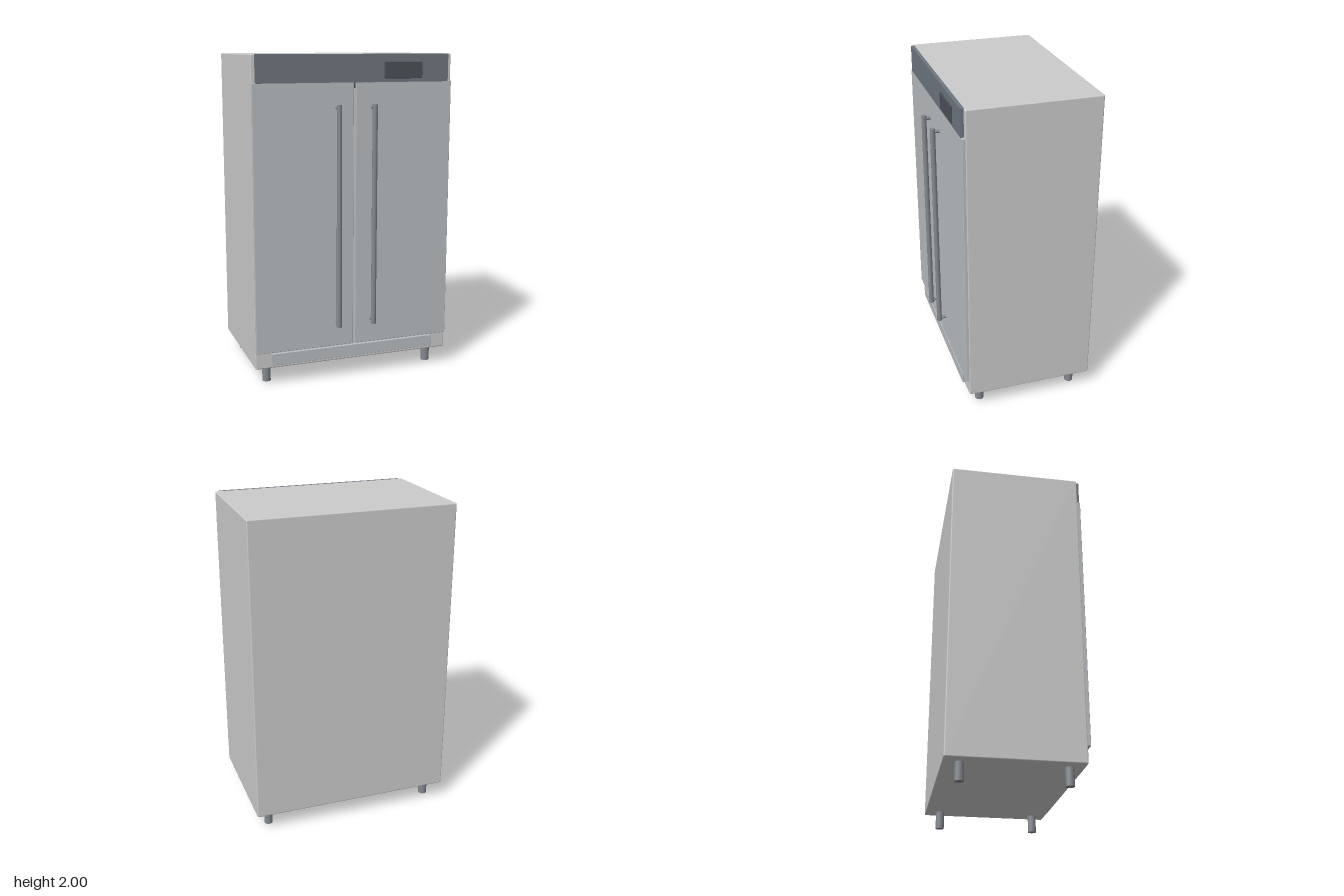
import * as THREE from 'three';
import { RoundedBoxGeometry } from 'three/addons/geometries/RoundedBoxGeometry.js';

export function createModel() {
  const model = new THREE.Group();
  model.name = 'twoDoorCabinet';

  const material = (color) => new THREE.MeshStandardMaterial({ color });
  const steel = material(0xcccccc);
  const doorSteel = material(0xb9bec2);
  const slate = material(0x6f777f);
  const dark = material(0x4c5057);
  const metal = material(0x85898e);

  const add = (parent, name, geometry, mat, x, y, z) => {
    const mesh = new THREE.Mesh(geometry, mat);
    mesh.name = name;
    mesh.position.set(x, y, z);
    parent.add(mesh);
    return mesh;
  };

  // Box given by its limits, with an optional softened edge
  const block = (name, [x0, x1], [y0, y1], [z0, z1], mat, edge = 0) => {
    const size = [x1 - x0, y1 - y0, z1 - z0];
    const geometry = edge
      ? new RoundedBoxGeometry(...size, 2, edge)
      : new THREE.BoxGeometry(...size);
    return add(model, name, geometry, mat, (x0 + x1) / 2, (y0 + y1) / 2, (z0 + z1) / 2);
  };

  // Cabinet and front fittings
  block('cabinet', [-0.633, 0.633], [0.108, 2], [-0.436, 0.361], steel, 0.008);
  block('controlPanel', [-0.608, 0.606], [1.832, 1.999], [0.35, 0.379], slate);
  block('display', [0.184, 0.43], [1.853, 1.952], [0.37, 0.388], dark, 0.003);
  block('kickPlate', [-0.535, 0.53], [0.131, 0.203], [0.35, 0.379], doorSteel, 0.002);
  block('centreCatch', [-0.007, 0.003], [1.8, 1.832], [0.355, 0.372], dark);

  // Doors, each with a bar handle on two posts
  for (const side of [-1, 1]) {
    const label = side > 0 ? 'left' : 'right';
    const x = side > 0 ? [0.004, 0.629] : [-0.631, -0.009];
    block(label + 'Door', x, [0.212, 1.836], [0.35, 0.379], doorSteel, 0.003);

    const handle = new THREE.Group();
    handle.name = label + 'Handle';
    handle.position.x = side > 0 ? 0.111 : -0.115;
    add(handle, 'bar', new THREE.CylinderGeometry(0.016, 0.016, 1.362, 12), metal, 0, 1.024, 0.42);
    for (const y of [0.363, 1.685]) {
      const post = add(handle, 'post', new THREE.CylinderGeometry(0.011, 0.011, 0.05, 12), metal, 0, y, 0.395);
      post.rotation.x = Math.PI / 2;
    }
    model.add(handle);
  }

  // Four feet
  for (const x of [-0.544, 0.541]) {
    for (const z of [-0.341, 0.274]) {
      add(model, 'foot', new THREE.CylinderGeometry(0.027, 0.027, 0.115, 12), metal, x, 0.0575, z);
    }
  }

  return model;
}
